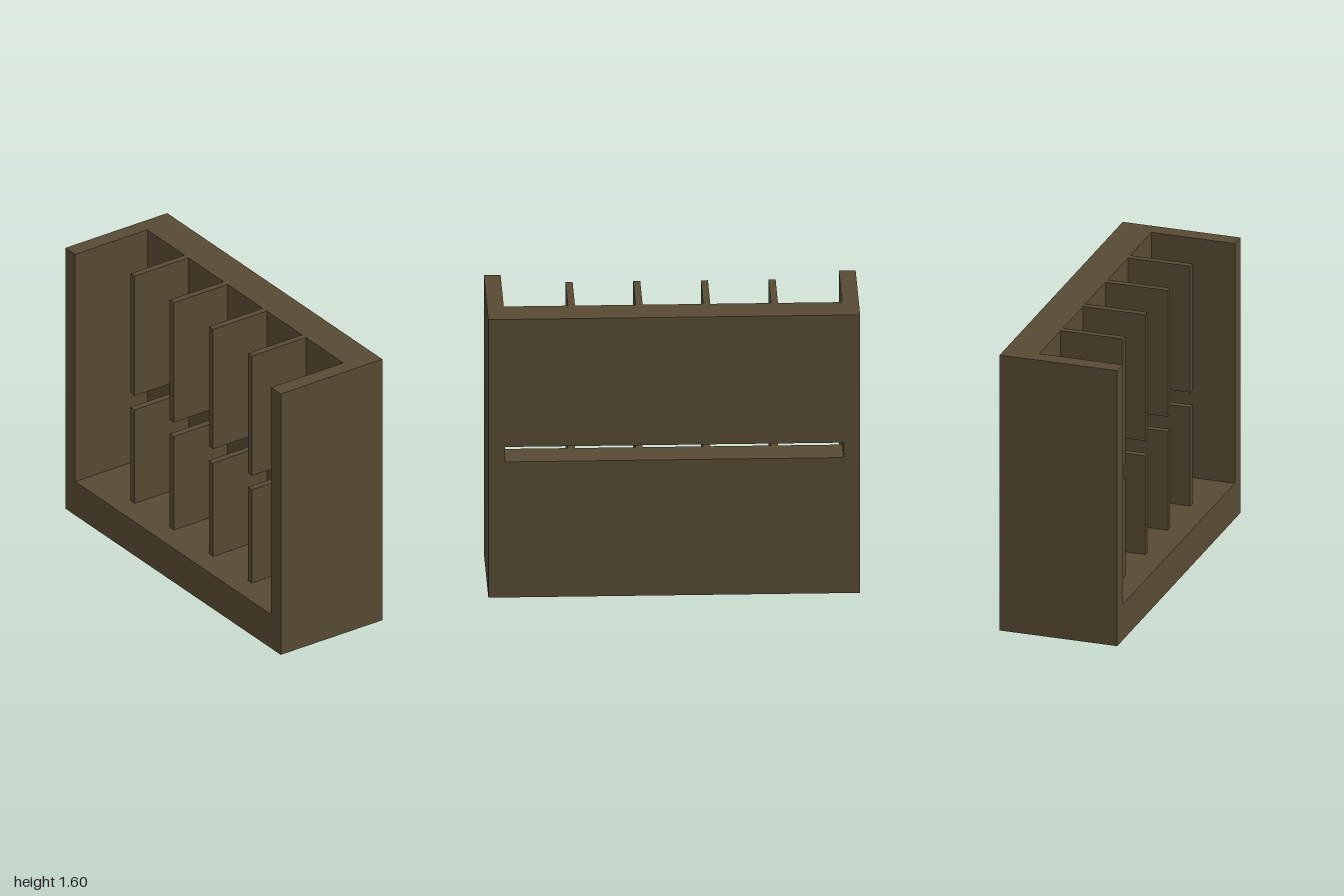
import * as THREE from 'three';

const HALF_W = 1, HEIGHT = 1.6, DEPTH = 0.67;
const INNER = 0.91;            // half width between the side walls
const FLOOR = 0.207;           // top of the base
const SLOT = [0.78, 0.866];    // bottom and top of the slot through the back
const BACK = -DEPTH / 2, BACK_FRONT = -0.14, DIVIDER_FRONT = 0.215;
const BAYS = 5, DIVIDER = 0.038;

const shapeOf = (points) => new THREE.Shape(points.map(([x, y]) => new THREE.Vector2(x, y)));

export function createModel() {
  const model = new THREE.Group();
  model.name = 'dividedRack';
  const brown = new THREE.MeshStandardMaterial({ color: 0x574a33 });
  brown.name = 'dark brown';

  const add = (name, geometry, parent = model) => {
    const mesh = new THREE.Mesh(geometry, brown);
    mesh.name = name;
    parent.add(mesh);
    return mesh;
  };

  // U-shaped frame: base and both side walls
  const frame = new THREE.ExtrudeGeometry(shapeOf([
    [-HALF_W, 0], [HALF_W, 0], [HALF_W, HEIGHT], [INNER, HEIGHT],
    [INNER, FLOOR], [-INNER, FLOOR], [-INNER, HEIGHT], [-HALF_W, HEIGHT],
  ]), { depth: DEPTH, bevelEnabled: false });
  frame.translate(0, 0, BACK);
  add('frame', frame);

  // Comb-shaped plan: back wall with dividers reaching forward
  const plan = [[-INNER, -BACK], [-INNER, -BACK_FRONT]];
  for (let i = 1; i < BAYS; i++) {
    const x = -INNER + (2 * INNER * i) / BAYS;
    const l = x - DIVIDER / 2, r = x + DIVIDER / 2;
    plan.push([l, -BACK_FRONT], [l, -DIVIDER_FRONT], [r, -DIVIDER_FRONT], [r, -BACK_FRONT]);
  }
  plan.push([INNER, -BACK_FRONT], [INNER, -BACK]);

  // One comb below the slot and one above it
  const rows = [['lowerBackAndDividers', FLOOR, SLOT[0]], ['upperBackAndDividers', SLOT[1], HEIGHT]];
  for (const [name, y0, y1] of rows) {
    const comb = new THREE.ExtrudeGeometry(shapeOf(plan), { depth: y1 - y0, bevelEnabled: false });
    comb.rotateX(-Math.PI / 2);
    comb.translate(0, y0, 0);
    add(name, comb);
  }

  return model;
}
